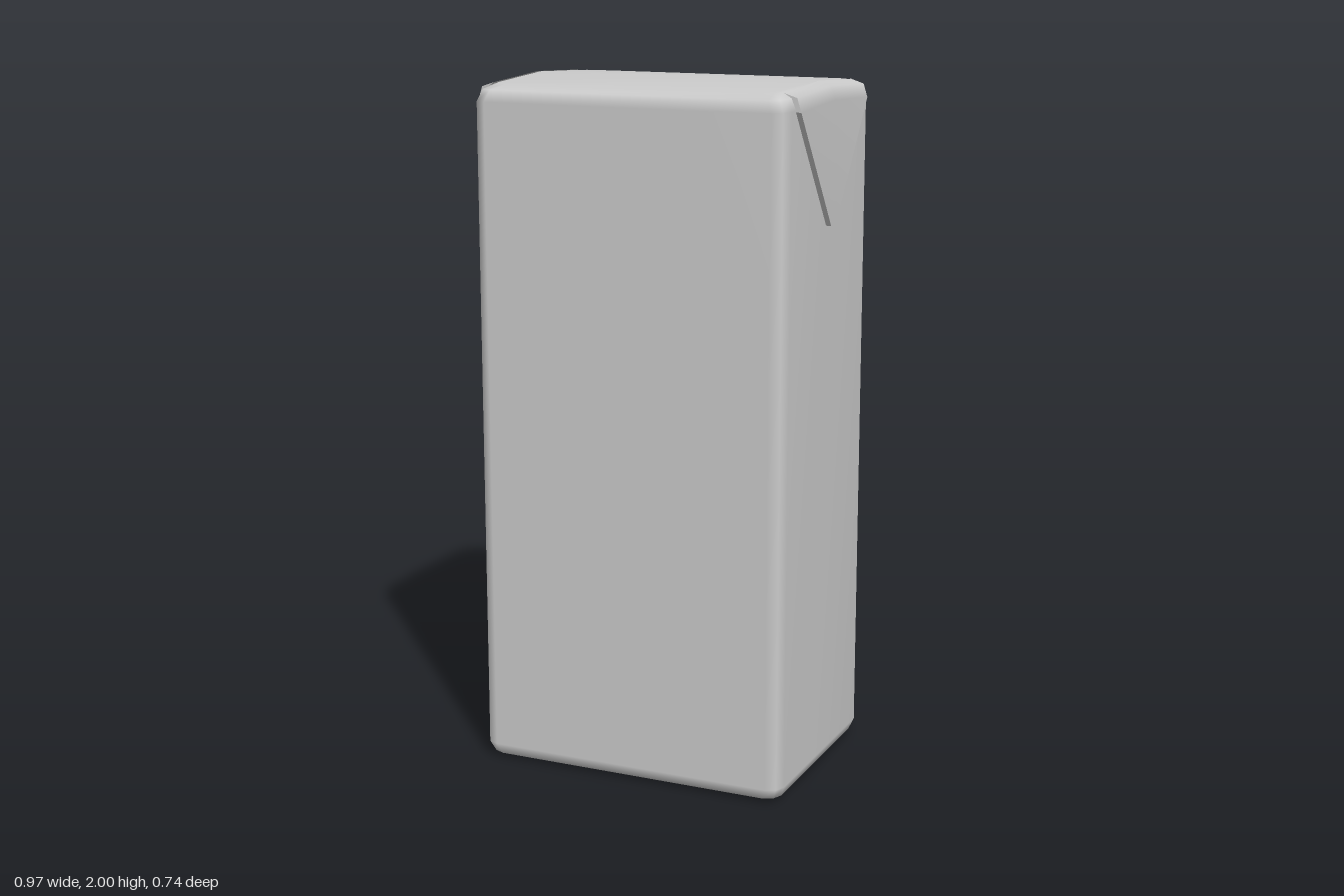
import * as THREE from 'three';
import { mergeVertices } from 'three/addons/utils/BufferGeometryUtils.js';

const HALF_W = 0.47, HALF_D = 0.335, ZC = 0.036, CORNER = 0.042;
const ROOF_SLOPE = 0.05;

const grey = () => new THREE.MeshStandardMaterial({ color: 0xcccccc });

// Height drop of the gently pitched roof away from its ridge
const roofDrop = (z) => ROOF_SLOPE * Math.abs(z);

// Skins a list of equal-length closed loops, each a list of [x, y, z]
function skin(loops, closed = true) {
  const n = loops[0].length, index = [];
  for (let r = 0; r < loops.length - 1; r++) {
    for (let i = 0; i < (closed ? n : n - 1); i++) {
      const j = (i + 1) % n;
      const a = r * n + i, b = r * n + j, c = a + n, d = b + n;
      index.push(a, c, b, b, c, d);
    }
  }
  const geo = new THREE.BufferGeometry();
  geo.setAttribute('position', new THREE.Float32BufferAttribute(loops.flat(2), 3));
  geo.setIndex(index);
  return geo;
}

// Chamfer-cornered rectangle with a midpoint on each short side for the ridge
function outline(inset) {
  const w = HALF_W - inset, d = HALF_D - inset, r = CORNER;
  const quarter = [[w, 0], [w, d - r], [w - 0.3 * r, d - 0.3 * r], [w - r, d]];
  const half = [...quarter, ...quarter.slice(1).reverse().map(([x, z]) => [-x, z])];
  return [...half, ...half.map(([x, z]) => [-x, -z])];
}

// Carton: rounded base, straight walls, rounded shoulders, pitched roof
function cartonGeometry() {
  const rows = [[0, 0.045], [0.013, 0.013], [0.045, 0],
    [1.955, 0], [1.987, 0.013], [2, 0.045]];
  const loops = rows.map(([y, inset]) => outline(inset).map(([x, z]) =>
    [x, y > 1 ? y - roofDrop(z) : y, z]));
  const geo = skin(loops);
  const n = loops[0].length, h = n / 2, index = Array.from(geo.index.array);
  const last = (rows.length - 1) * n;
  // Each cap is two halves meeting along the ridge line
  for (const start of [0, h]) {
    for (let i = 1; i < h; i++) {
      const a = start, b = start + i, c = (start + i + 1) % n;
      index.push(a, b, c, last + a, last + c, last + b);
    }
  }
  geo.setIndex(index);
  const merged = mergeVertices(geo);
  merged.computeVertexNormals();
  return merged;
}

// Folded ear: tapers to a blunt tip on the wall and wraps over the shoulder
function flapGeometry() {
  const rows = [[1.605, 0.02, 0.462], [1.605, 0.02, 0.485], [1.95, 0.262, 0.485],
    [1.988, 0.262, 0.473], [2.0005, 0.262, 0.435]];
  const loops = rows.map(([y, hw, x]) => [1, 0, -1].map((s) =>
    [x, y > 1.9 ? y - roofDrop(s * hw) : y, s * hw]));
  const face = skin(loops.slice(1), false);
  face.computeVertexNormals();
  return { face, loops };
}

// Thin edges joining the ear to the wall
function flapRimGeometry(loops) {
  const path = [...loops.slice(1).map((l) => l[0]).reverse(), ...loops.slice(1).map((l) => l[2])];
  const inner = path.map(([x, y, z]) => [Math.min(x, 0.455), y, z]);
  const geo = skin([path, inner], false).toNonIndexed();
  geo.computeVertexNormals();
  return geo;
}

// Bent straw: long leg, half-ring bend, short leg
function makeStraw() {
  const straw = new THREE.Group();
  straw.name = 'straw';
  const R = 0.07, r = 0.042;
  const add = (name, geo, x, y) => {
    const mesh = new THREE.Mesh(geo, grey());
    mesh.name = name;
    mesh.position.set(x, y, 0);
    straw.add(mesh);
  };
  for (const [name, side, len] of [['strawLongLeg', -1, 1.63], ['strawShortLeg', 1, 0.49]]) {
    add(name, new THREE.CylinderGeometry(r, r, len, 12), side * R, -len / 2);
  }
  add('strawBend', new THREE.TorusGeometry(R, r, 12, 4, Math.PI), 0, 0);
  straw.position.set(0.26, 1.68, -0.331);
  straw.rotation.set(-0.007, 0, -0.318);
  return straw;
}

export function createModel() {
  const model = new THREE.Group();
  model.name = 'drinkCarton';

  const carton = new THREE.Mesh(cartonGeometry(), grey());
  carton.name = 'carton';
  carton.position.z = ZC;
  model.add(carton);

  const { face, loops } = flapGeometry();
  const rim = flapRimGeometry(loops);
  for (const side of [1, -1]) {
    const flap = new THREE.Group();
    flap.name = side > 0 ? 'leftFlap' : 'rightFlap';
    for (const [name, geo] of [['flapFace', face], ['flapRim', rim]]) {
      const mesh = new THREE.Mesh(geo, grey());
      mesh.material.side = THREE.DoubleSide;
      mesh.name = name;
      flap.add(mesh);
    }
    flap.position.z = ZC;
    flap.rotation.y = side > 0 ? 0 : Math.PI;
    model.add(flap);
  }

  model.add(makeStraw());
  return model;
}
